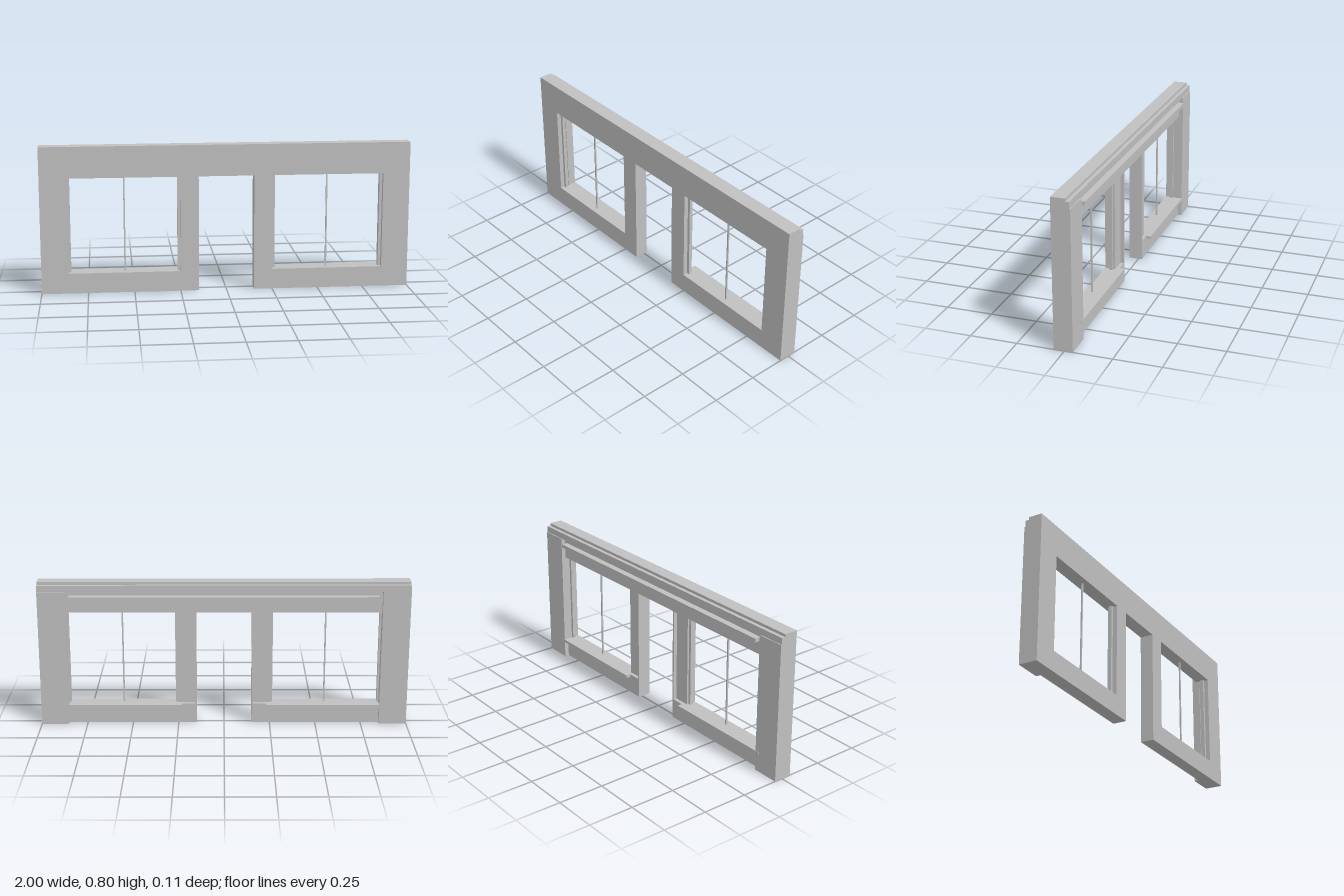
import * as THREE from 'three';

export function createModel() {
  const model = new THREE.Group();
  model.name = 'wallPanel';
  const grey = new THREE.MeshStandardMaterial({ color: 0xc0c0c0 });
  grey.name = 'plainGrey';

  // Box given by its limits on each axis
  function box(name, x0, x1, y0, y1, z0, z1) {
    const mesh = new THREE.Mesh(new THREE.BoxGeometry(x1 - x0, y1 - y0, z1 - z0), grey);
    mesh.position.set((x0 + x1) / 2, (y0 + y1) / 2, (z0 + z1) / 2);
    mesh.name = name;
    model.add(mesh);
  }

  // Same box on both sides of the doorway
  function pair(name, x0, x1, ...rest) {
    box(name + 'Left', x0, x1, ...rest);
    box(name + 'Right', -x1, -x0, ...rest);
  }

  // Wall layer with a doorway and two window holes between x = inner and outer
  function layer(name, inner, outer, z0, z1) {
    const shape = new THREE.Shape([
      [-1, 0], [-0.15, 0], [-0.15, 0.63], [0.15, 0.63],
      [0.15, 0], [1, 0], [1, 0.8], [-1, 0.8],
    ].map(([x, y]) => new THREE.Vector2(x, y)));
    for (const s of [-1, 1]) {
      shape.holes.push(new THREE.Path([
        [inner, 0.11], [outer, 0.11], [outer, 0.63], [inner, 0.63],
      ].map(([x, y]) => new THREE.Vector2(s * x, y))));
    }
    const geo = new THREE.ExtrudeGeometry(shape, { depth: z1 - z0, bevelEnabled: false });
    geo.translate(0, 0, z0);
    const mesh = new THREE.Mesh(geo, grey);
    mesh.name = name;
    model.add(mesh);
  }

  // Front skin, and back skin whose wider holes leave recessed panels by the door
  layer('frontWall', 0.25, 0.855, 0, 0.055);
  layer('backWall', 0.16, 0.85, -0.02, 0);

  // Thin window frames and centre bars
  pair('outerWindowJamb', 0.84, 0.855, 0.11, 0.63, 0.01, 0.03);
  pair('innerWindowJamb', 0.25, 0.265, 0.11, 0.63, 0.01, 0.03);
  pair('windowBar', 0.546, 0.554, 0.11, 0.63, 0.016, 0.024);

  // Raised back trim: end pilasters, cornice, rail and sills
  pair('endPilaster', 0.85, 1, 0, 0.75, -0.045, -0.02);
  box('cornice', -1, 1, 0.75, 0.785, -0.04, -0.02);
  box('rail', -0.83, 0.83, 0.705, 0.725, -0.055, -0.02);
  pair('windowSill', 0.23, 0.875, 0.095, 0.11, -0.047, -0.02);

  return model;
}
